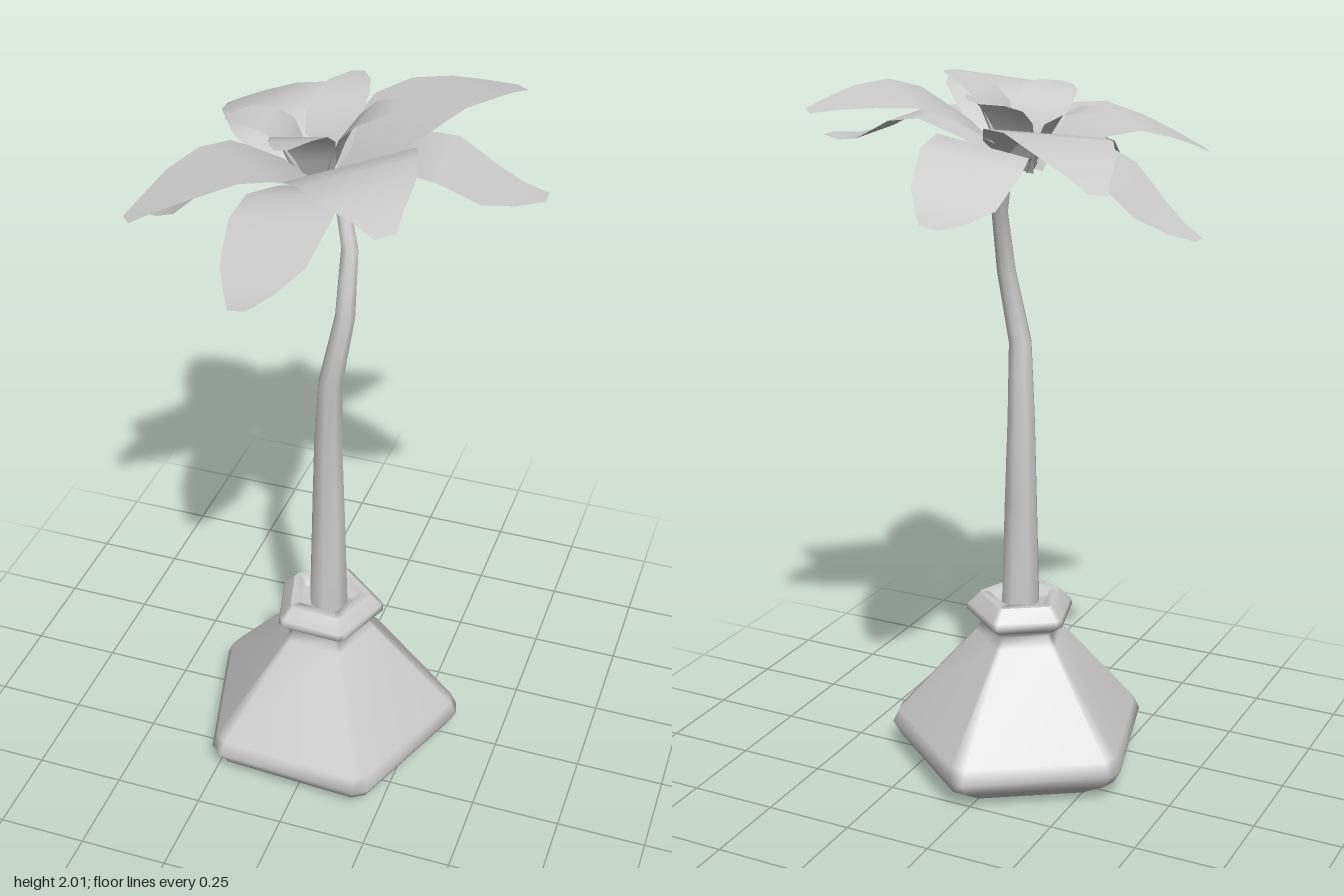
import * as THREE from 'three';

const solid = new THREE.MeshStandardMaterial({ color: 0xcccccc });
const sheet = new THREE.MeshStandardMaterial({ color: 0xcccccc, side: THREE.DoubleSide });

// Skins a list of rows of points; closed joins each row into a ring.
function loft(rows, closed) {
  const n = rows[0].length, index = [];
  for (let j = 0; j < rows.length - 1; j++) {
    for (let i = 0; i < (closed ? n : n - 1); i++) {
      const k = (i + 1) % n;
      const a = j * n + i, b = j * n + k, c = b + n, d = a + n;
      index.push(a, b, c, a, c, d);
    }
  }
  const geo = new THREE.BufferGeometry();
  geo.setAttribute('position', new THREE.Float32BufferAttribute(rows.flat(2), 3));
  geo.setIndex(index);
  geo.computeVertexNormals();
  return geo;
}

function add(group, name, geo, material) {
  const mesh = new THREE.Mesh(geo, material);
  mesh.name = name;
  group.add(mesh);
}

// Five-sided vase with narrow chamfers on its corners.
function potGeometry() {
  const corner = (i) => {
    const a = THREE.MathUtils.degToRad(33 + 72 * i);
    return new THREE.Vector2(Math.sin(a), Math.cos(a)).multiplyScalar(1.035);
  };
  const outline = [];
  for (let i = 0; i < 5; i++) {
    const p = corner(i);
    outline.push(p.clone().lerp(corner(i - 1), 0.06), p.clone().lerp(corner(i + 1), 0.06));
  }
  // radius, height; repeated points keep an edge sharp
  const profile = [
    [0, 0], [0.28, 0], [0.28, 0], [0.36, 0.05], [0.385, 0.09], [0.367, 0.13],
    [0.135, 0.4], [0.117, 0.43], [0.138, 0.45], [0.16, 0.467], [0.155, 0.485],
    [0.12, 0.52], [0.12, 0.52], [0.09, 0.52], [0.085, 0.5], [0, 0.5],
  ];
  return loft(profile.map(([r, y]) => outline.map((p) => [p.x * r, y, 0.08 + p.y * r])), true);
}

// Bent stem, tapering upward: x, y, z, radius.
function stemGeometry() {
  const path = [
    [0.005, 0.48, 0.085, 0.057], [0.005, 0.8, 0.085, 0.048], [0.005, 1.05, 0.086, 0.04],
    [0.02, 1.26, 0.11, 0.033], [0.055, 1.46, 0.095, 0.027], [0.05, 1.63, 0.045, 0.023],
    [0.01, 1.77, 0.003, 0.019], [0, 1.8, 0, 0.016], [0, 1.8, 0, 0],
  ];
  return loft(path.map(([x, y, z, r]) => Array.from({ length: 8 }, (_, i) => {
    const a = (i / 8) * Math.PI * 2;
    return [x + r * Math.sin(a), y, z + r * Math.cos(a)];
  })), true);
}

// Petal sections: fraction of length, height, half width.
const lowerPetal = [
  [0.04, 1.78, 0.03], [0.2, 1.83, 0.09], [0.4, 1.86, 0.125], [0.55, 1.835, 0.135],
  [0.74, 1.76, 0.112], [0.88, 1.73, 0.065], [1, 1.72, 0.024],
];
const upperPetal = [
  [0.03, 1.78, 0.03], [0.17, 1.855, 0.125], [0.38, 1.915, 0.165], [0.55, 1.932, 0.145],
  [0.73, 1.915, 0.11], [0.88, 1.89, 0.06], [1, 1.865, 0.025],
];
const innerPetal = [
  [0.1, 1.78, 0.045], [0.22, 1.86, 0.066], [0.35, 1.925, 0.077], [0.55, 1.96, 0.077],
  [0.78, 1.975, 0.058], [1, 1.975, 0.018],
];

// Petal running from a centre to a tip in plan; the whole flower leans toward -x.
function petalGeometry(sections, [cx, cz], [tx, tz]) {
  const dx = tx - cx, dz = tz - cz, len = Math.hypot(dx, dz);
  return loft(sections.map(([t, y, w]) => [1, 0, -1].map((s) => {
    const x = cx + dx * t + (s * w * dz) / len;
    const z = cz + dz * t - (s * w * dx) / len;
    return [x, y + 0.187 * x, z];
  })), false);
}

export function createModel() {
  const model = new THREE.Group();
  model.name = 'flowerInVase';
  add(model, 'vase', potGeometry(), solid);
  add(model, 'stem', stemGeometry(), solid);

  const flower = new THREE.Group();
  flower.name = 'flower';
  model.add(flower);
  const whorls = [
    ['lowerPetal', lowerPetal, [-0.02, 0], [[-0.055, -0.545], [0.53, -0.035], [-0.06, 0.54], [-0.535, 0]]],
    ['upperPetal', upperPetal, [-0.02, 0], [[0.375, -0.38], [0.27, 0.45], [-0.42, 0.35], [-0.415, -0.37]]],
    ['innerPetal', innerPetal, [-0.055, -0.03], [[-0.035, -0.27], [0.17, -0.025], [-0.07, 0.21], [-0.295, -0.005]]],
  ];
  for (const [name, sections, centre, tips] of whorls) {
    for (const tip of tips) add(flower, name, petalGeometry(sections, centre, tip), sheet);
  }
  return model;
}
